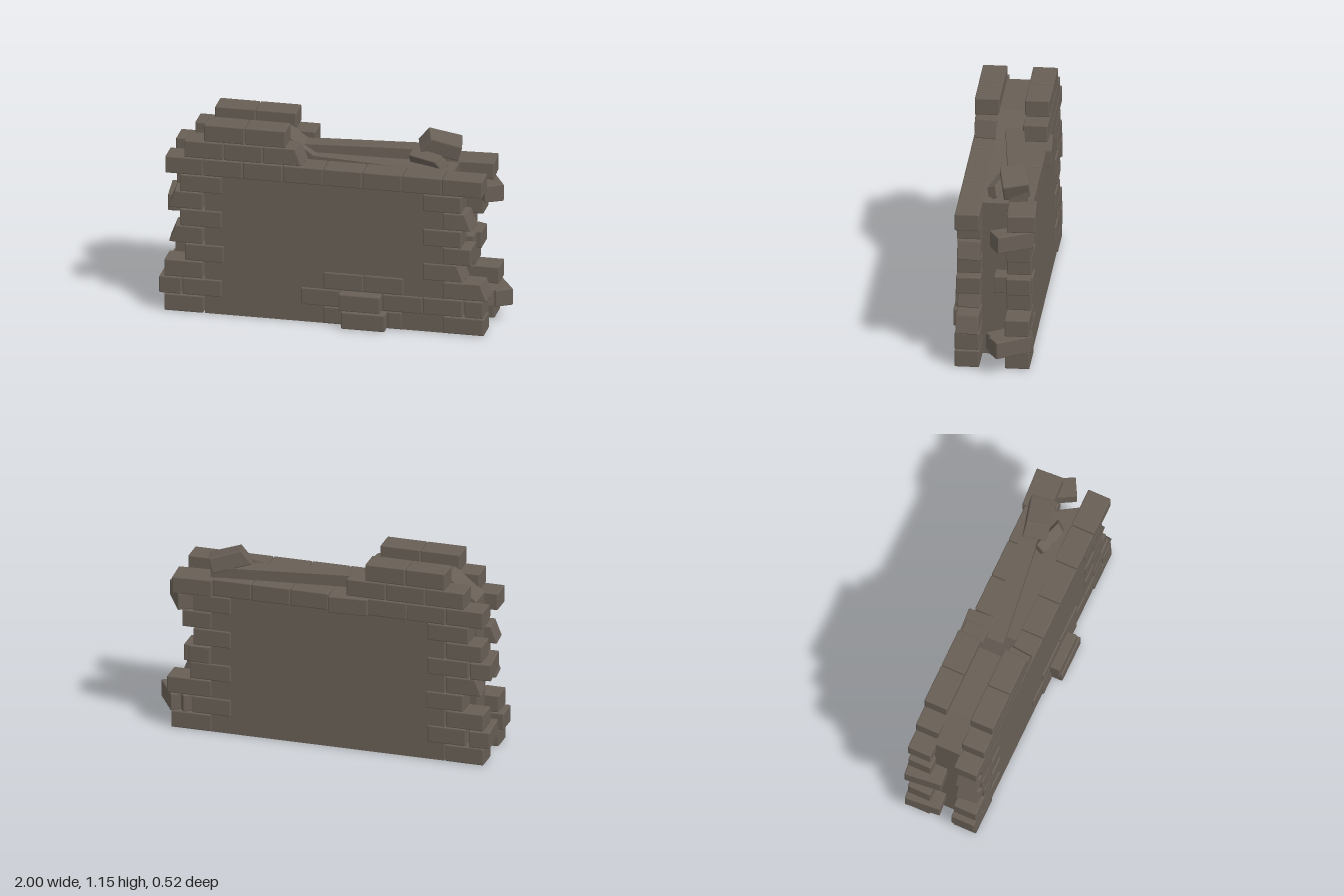
import * as THREE from 'three';
import { RoundedBoxGeometry } from 'three/addons/geometries/RoundedBoxGeometry.js';

const PITCH = 0.1045, HEIGHT = 0.101;
const FRONT = [0.06, 0.2], BACK = [-0.225, -0.085];

export function createModel() {
  const model = new THREE.Group();
  model.name = 'ruinedBrickWall';
  const stone = new THREE.MeshStandardMaterial({ color: 0x685f56 });
  stone.name = 'weathered stone';

  function add(geometry, name, parent = model) {
    const mesh = new THREE.Mesh(geometry, stone);
    mesh.name = name;
    parent.add(mesh);
    return mesh;
  }

  // Block with narrow chamfers; chip wears one end (+1 right, -1 left) down
  function block(w, h, d, chip = 0, radius = 0.006) {
    const g = new RoundedBoxGeometry(w, h, d, 1, radius);
    const p = g.attributes.position;
    for (let i = 0; i < p.count && chip; i++) {
      if (p.getX(i) * chip < w * 0.3) continue;
      const up = p.getY(i) > 0, out = p.getZ(i) > 0;
      p.setX(i, p.getX(i) - chip * (up ? 0.035 : 0) - chip * (out ? 0.012 : 0));
      p.setZ(i, p.getZ(i) * 0.92);
    }
    g.computeVertexNormals();
    return g;
  }

  function group(name) {
    const g = new THREE.Group();
    g.name = name;
    model.add(g);
    return g;
  }

  // Brick given by its x range, course number and z range
  function brick(parent, x0, x1, row, [z0, z1], chip = 0, turn = 0) {
    const m = add(block(x1 - x0 - 0.004, HEIGHT, z1 - z0, chip), 'brick', parent);
    m.position.set((x0 + x1) / 2, row * PITCH + HEIGHT / 2 + 0.001, (z0 + z1) / 2);
    m.rotation.y = turn;
  }

  // Rubble core with broken upper edge
  const profile = new THREE.Shape([
    [-0.87, 0], [0.69, 0], [0.69, 0.93], [0.3, 0.94], [-0.12, 0.96],
    [-0.28, 1.075], [-0.7, 1.075], [-0.82, 0.98], [-0.87, 0.94],
  ].map(([x, y]) => new THREE.Vector2(x, y)));
  const core = new THREE.ExtrudeGeometry(profile, { depth: 0.16, bevelEnabled: false });
  add(core.translate(0, 0, -0.092), 'wallCore');

  // Plastered faces on both sides
  const panel = new THREE.BoxGeometry(1.38, 0.9, 0.408);
  add(panel.translate(-0.03, 0.45, -0.013), 'plasteredFaces');

  // Toothed ends: [row, x0, x1, chip]
  const leftEnd = [
    [0, -0.955, -0.725, 0], [1, -0.85, -0.62, 0], [2, -0.955, -0.73, 0],
    [3, -0.835, -0.61, 0], [4, -0.94, -0.73, -1], [5, -0.865, -0.62, 0],
    [6, -0.945, -0.73, -1], [7, -0.865, -0.62, 0],
  ];
  const rightEnd = [
    [0, 0.655, 0.895, 0], [1, 0.54, 0.77, 0], [2, 0.655, 0.92, 1],
    [3, 0.54, 0.785, 1], [4, 0.655, 0.82, 0], [5, 0.54, 0.765, 0],
    [6, 0.655, 0.83, 1], [7, 0.54, 0.765, 0],
  ];
  for (const [name, z, isBack] of [['frontEndBricks', FRONT, false], ['backEndBricks', BACK, true]]) {
    const ends = group(name);
    for (const [row, x0, x1, chip] of [...leftEnd, ...rightEnd]) {
      brick(ends, x0, x1, row, z, isBack && row % 4 ? 0 : chip);
    }
  }

  // Bricks that stick out beyond the ends
  const loose = group('looseEndBricks');
  brick(loose, -0.985, -0.855, 1, FRONT);
  brick(loose, 0.78, 0.89, 1, FRONT);
  brick(loose, -0.985, -0.86, 1, [-0.23, -0.02], 0, 0.08);
  brick(loose, -0.99, -0.865, 5, [-0.23, -0.01], 0, 0.1);
  brick(loose, 0.66, 0.79, 4, [-0.235, -0.012]);
  brick(loose, 0.78, 0.9, 1, [-0.225, 0.015], 0, 0.62);
  brick(loose, 0.85, 0.96, 1, [-0.225, -0.005], 0, 0.55);
  brick(loose, 0.79, 0.91, 7, [-0.235, -0.01], 0, 0.5);

  // Full course along the top of the wall
  const top = group('topCourse');
  const joints = [-0.95, -0.73, -0.5, -0.27, -0.037, 0.19, 0.42, 0.65, 0.885];
  for (let i = 0; i < 8; i++) {
    brick(top, joints[i], joints[i + 1], 8, FRONT);
    const out = i === 3 || i === 7;
    brick(top, joints[i], joints[i + 1], 8, out ? [-0.25, -0.09] : BACK, 0, out ? 0.06 : 0);
  }

  // Remaining stepped courses on the left
  const steps = group('steppedCourses');
  brick(steps, -0.84, -0.612, 9, FRONT);
  brick(steps, -0.612, -0.385, 9, FRONT);
  brick(steps, -0.385, -0.15, 9, FRONT, 1);
  for (let i = 0; i < 3; i++) brick(steps, -0.84 + i * 0.233, -0.607 + i * 0.233, 9, BACK);
  for (const z of [FRONT, BACK]) {
    brick(steps, -0.725, -0.49, 10, z);
    brick(steps, -0.49, -0.252, 10, z);
  }

  // Exposed patch of bricks at the foot of the front
  const patch = group('exposedBricks');
  brick(patch, -0.035, 0.08, 0, FRONT);
  brick(patch, 0.08, 0.335, 0, [0.06, 0.263]);
  brick(patch, 0.335, 0.42, 0, FRONT);
  brick(patch, -0.165, 0.063, 1, FRONT);
  brick(patch, 0.063, 0.305, 1, [0.06, 0.255]);
  brick(patch, 0.305, 0.54, 1, FRONT);
  brick(patch, -0.035, 0.197, 2, FRONT);
  brick(patch, 0.197, 0.43, 2, FRONT);

  // Slanting slab between the two faces
  const slab = add(new THREE.BoxGeometry(1.0, 0.1, 0.105), 'fallenSlab');
  slab.position.set(0.18, 0.952, -0.08);
  slab.rotation.set(0, 0.125, -0.012);

  // Fallen stones on the right
  const large = add(block(0.235, 0.095, 0.15, -1, 0.008), 'fallenStone');
  large.position.set(0.575, 1.03, -0.105);
  large.rotation.set(0.12, 0.2, -0.3);
  const small = add(block(0.22, 0.06, 0.07, 1, 0.006), 'fallenStoneSmall');
  small.position.set(0.53, 0.965, -0.01);
  small.rotation.set(0.5, -0.3, 0.05);

  return model;
}
